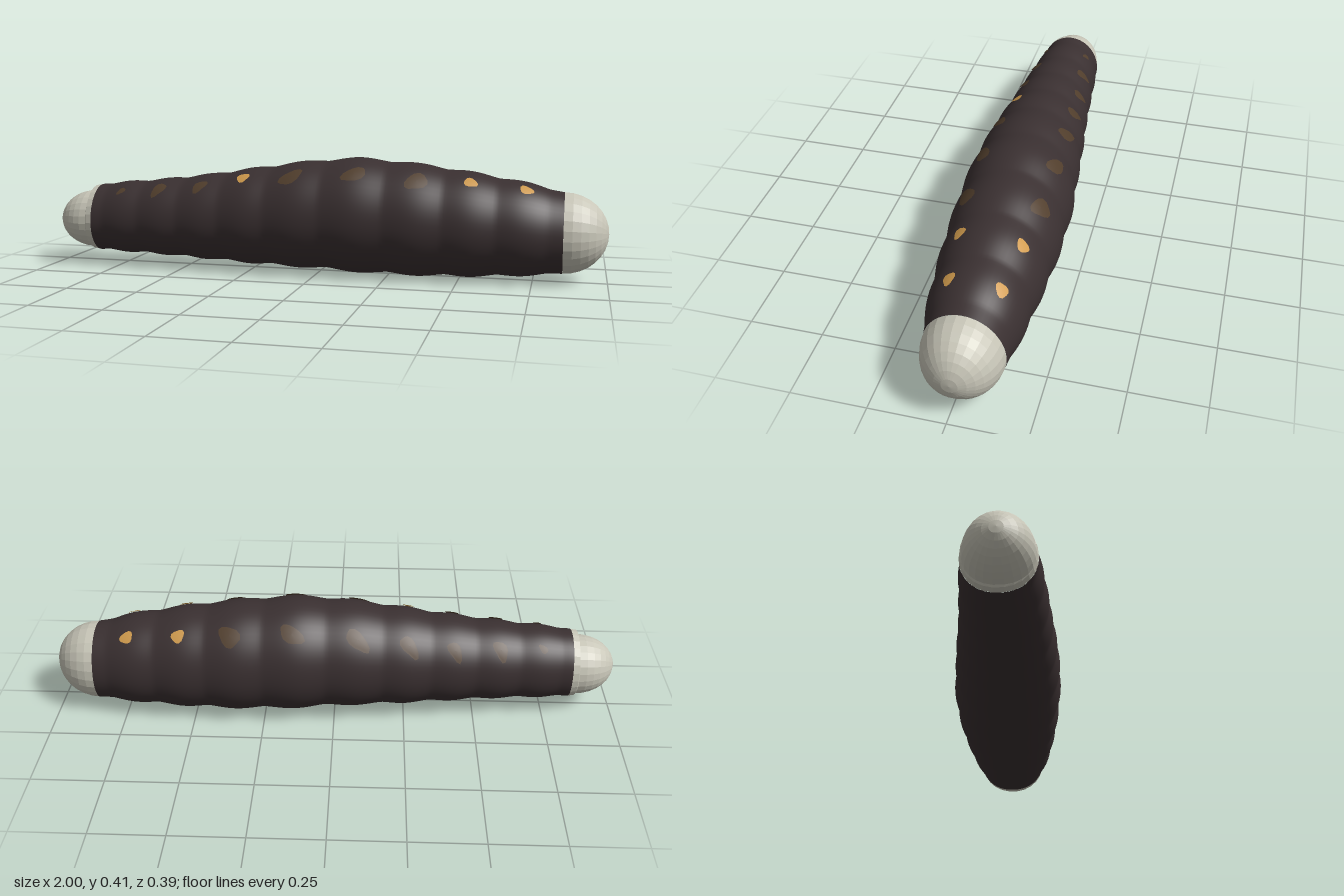
import * as THREE from 'three';

const mat = (name, color, extra = {}) => {
  const m = new THREE.MeshStandardMaterial({ color, ...extra });
  m.name = name;
  return m;
};

// Body stations: x, top y, bottom y, back z, front z
const stations = [
  [-0.9, 0.285, 0.052, -0.088, 0.13], [-0.8, 0.303, 0.046, -0.1, 0.14], [-0.6, 0.323, 0.04, -0.118, 0.158],
  [-0.4, 0.348, 0.03, -0.138, 0.172], [-0.2, 0.379, 0.02, -0.163, 0.186], [0, 0.406, 0.013, -0.184, 0.194],
  [0.15, 0.415, 0.006, -0.199, 0.194], [0.36, 0.398, 0.003, -0.2, 0.184], [0.55, 0.372, 0.008, -0.188, 0.167],
  [0.75, 0.337, 0.02, -0.167, 0.141], [0.85, 0.312, 0.029, -0.15, 0.118], [0.95, 0.29, 0.034, -0.13, 0.1],
];
// Creases between the body segments
const creases = [-0.94, -0.8, -0.655, -0.5, -0.34, -0.17, 0.03, 0.25, 0.45, 0.63, 0.8, 1.0];

const lastBelow = (list, x) => {
  let i = 0;
  while (i < list.length - 2 && x > list[i + 1]) i++;
  return i;
};

// Limits of the body at x, smoothed along the stations and pinched at creases
function limits(x) {
  const i = lastBelow(stations.map(s => s[0]), x);
  const n = stations.length - 1;
  const [p, a, b, q] = [Math.max(i - 1, 0), i, i + 1, Math.min(i + 2, n)].map(k => stations[k]);
  const t = (x - a[0]) / (b[0] - a[0]);
  const tangent = (l, r, k) => (r[k] - l[k]) / (r[0] - l[0]) * (b[0] - a[0]);
  const v = [1, 2, 3, 4].map(k => {
    const m0 = tangent(p, b, k), m1 = tangent(a, q, k);
    return (2 * t ** 3 - 3 * t * t + 1) * a[k] + (t ** 3 - 2 * t * t + t) * m0
      + (3 * t * t - 2 * t ** 3) * b[k] + (t ** 3 - t * t) * m1;
  });
  const c = lastBelow(creases, x);
  const u = (x - creases[c]) / (creases[c + 1] - creases[c]);
  return shrink(v, 1 - 0.045 * (1 - Math.pow(Math.abs(Math.sin(Math.PI * u)), 1.3)));
}

function shrink([top, bottom, back, front], s) {
  const y = (top + bottom) / 2, z = (back + front) / 2;
  return [y + (top - y) * s, y + (bottom - y) * s, z + (back - z) * s, z + (front - z) * s];
}

const midY = (top, bottom) => bottom + (top - bottom) * 0.46;

// Join rings {x, lim} into a skin, with rounder top and fuller underside
function loft(rings, sides, flat) {
  const pos = [], index = [];
  for (const { x, lim: [top, bottom, back, front] } of rings) {
    const mid = midY(top, bottom);
    for (let j = 0; j < sides; j++) {
      const t = j / sides * Math.PI * 2, c = Math.cos(t), s = Math.sin(t);
      const w = s < 0 ? Math.sign(c) * Math.pow(Math.abs(c), 0.9) : c;
      pos.push(x, s > 0 ? mid + (top - mid) * s : mid + (mid - bottom) * s,
        (back + front) / 2 + (front - back) / 2 * w);
    }
  }
  for (let i = 0; i < rings.length - 1; i++) for (let j = 0; j < sides; j++) {
    const k = (j + 1) % sides;
    const a = i * sides + j, b = a + sides, c = i * sides + k, d = c + sides;
    index.push(a, b, c, b, d, c);
  }
  let g = new THREE.BufferGeometry();
  g.setAttribute('position', new THREE.Float32BufferAttribute(pos, 3));
  g.setIndex(index);
  if (flat) g = g.toNonIndexed();
  g.computeVertexNormals();
  return g;
}

// Thin irregular patch lying on the upper skin
function spotGeometry(x0, z0, rx, rz, slant, phase) {
  const sides = 14, steps = 4, pos = [], index = [];
  for (let r = 0; r <= steps; r++) for (let j = 0; j < sides; j++) {
    const a = j / sides * Math.PI * 2;
    const k = r / steps * (1 + 0.13 * Math.sin(3 * a + phase));
    const x = x0 + rx * k * Math.cos(a);
    const z = z0 + rz * k * Math.sin(a) + slant * (x - x0);
    const [top, bottom, back, front] = limits(x);
    const mid = midY(top, bottom), c = (z - (back + front) / 2) / ((front - back) / 2);
    pos.push(x, mid + (top - mid) * Math.sqrt(Math.max(0, 1 - c * c)) + 0.004, z + c * 0.002);
  }
  for (let r = 0; r < steps; r++) for (let j = 0; j < sides; j++) {
    const k = (j + 1) % sides, a = r * sides + j, b = r * sides + k;
    index.push(a, b, a + sides, b, b + sides, a + sides);
  }
  const g = new THREE.BufferGeometry();
  g.setAttribute('position', new THREE.Float32BufferAttribute(pos, 3));
  g.setIndex(index);
  g.computeVertexNormals();
  return g;
}

export function createModel() {
  const group = new THREE.Group();
  const skin = mat('dark skin', 0x3a3031);
  const cream = mat('cream', 0xc8c6b8);
  const dull = mat('brown spot', 0x513e2c, { side: THREE.DoubleSide });
  const bright = mat('amber spot', 0xcf9a4c, { side: THREE.DoubleSide });
  const add = (name, geometry, material) => {
    const m = new THREE.Mesh(geometry, material);
    m.name = name;
    group.add(m);
  };

  // Segmented body
  const x0 = -0.84, x1 = 0.85, n = 160, body = [];
  for (let i = 0; i <= n; i++) {
    const x = x0 + (x1 - x0) * i / n;
    body.push({ x, lim: limits(x) });
  }
  add('segmentedBody', loft(body, 56), skin);

  // Large domed end, growing out of the last segment
  const big = [], small = [], steps = 8;
  for (let i = 0; i <= steps; i++) {
    const a = i / steps * Math.PI / 2;
    big.push({ x: x1 + 0.15 * Math.sin(a), lim: shrink(limits(x1), Math.cos(a)) });
    small.unshift({ x: -0.865 - 0.135 * Math.sin(a), lim: shrink([0.272, 0.06, -0.086, 0.13], Math.cos(a)) });
  }
  add('largeEndCap', loft(big, 26, true), cream);

  // Small domed end with a stepped collar
  small.push({ x: -0.862, lim: shrink(limits(x0), 0.97) }, { x: x0, lim: limits(x0) });
  add('smallEndCap', loft(small, 26, true), cream);

  // Paired spots: x, back z, front z, x radius, z radius, amber at back, amber at front
  const spots = [
    [-0.73, -0.063, 0.1, 0.016, 0.01, 0, 0], [-0.58, -0.08, 0.108, 0.026, 0.021, 0, 0],
    [-0.42, -0.1, 0.115, 0.026, 0.018, 0, 0], [-0.26, -0.112, 0.104, 0.032, 0.02, 0, 1],
    [-0.08, -0.122, 0.122, 0.04, 0.022, 0, 0], [0.145, -0.132, 0.12, 0.042, 0.022, 0, 0],
    [0.36, -0.132, 0.115, 0.038, 0.026, 0, 0], [0.54, -0.118, 0.084, 0.023, 0.019, 1, 1],
    [0.725, -0.1, 0.062, 0.022, 0.017, 1, 1],
  ];
  spots.forEach(([x, back, front, rx, rz, amberBack, amberFront], i) => {
    const place = (name, z, amber, slant) => add(name,
      spotGeometry(x, z, amber ? 0.023 : rx, amber ? 0.018 : rz, amber ? 0 : slant, i), amber ? bright : dull);
    place('backSpot', back, amberBack, 0.25);
    place('frontSpot', front, amberFront, -0.25);
  });
  return group;
}
